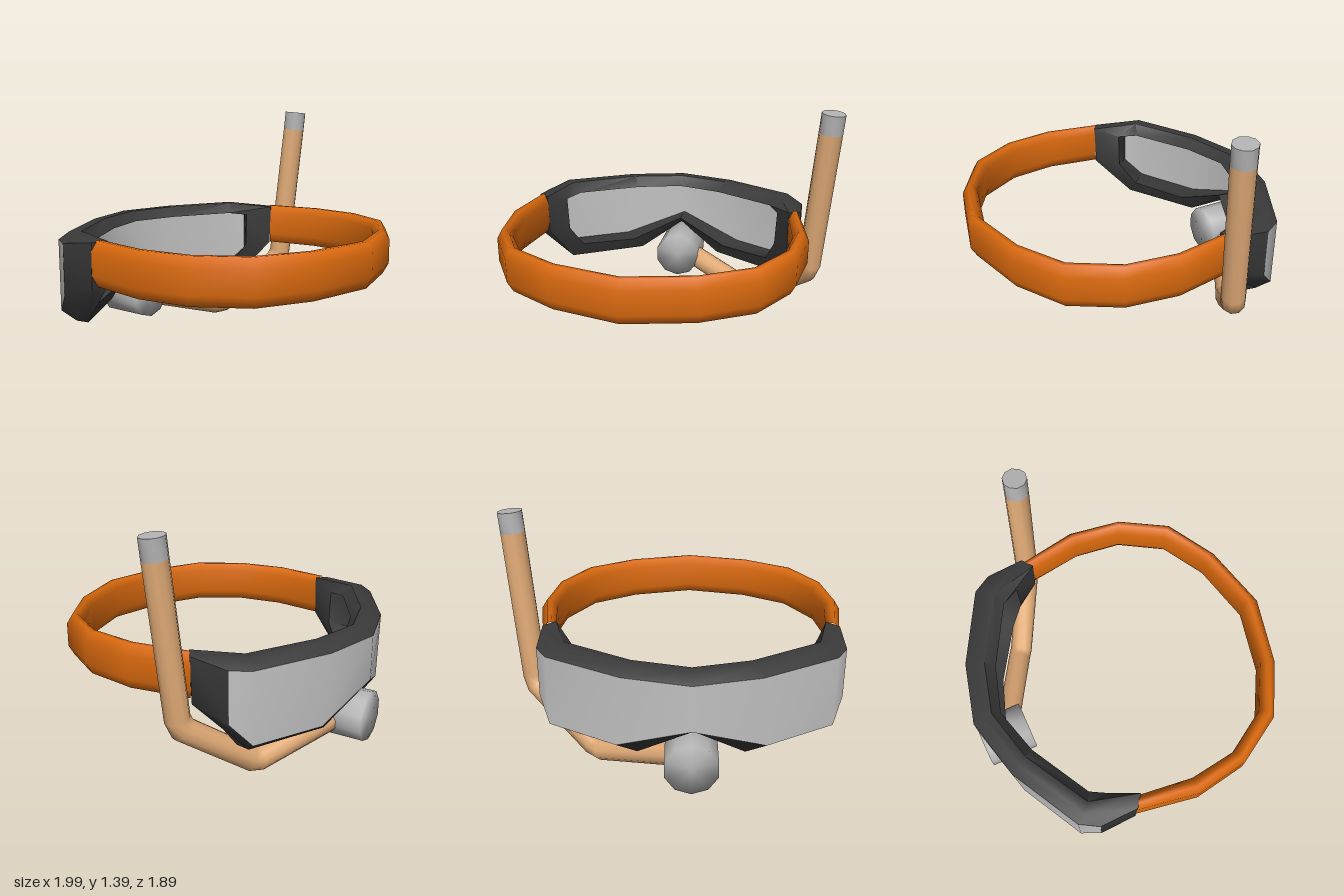
import * as THREE from 'three';
import { mergeVertices, toCreasedNormals } from 'three/addons/utils/BufferGeometryUtils.js';

const CX = -0.08; // the mask's own centre line
const V = (x, y, z) => new THREE.Vector3(x, y, z);
const mirror = (ring) => ring.map((p) => V(-p.x, p.y, p.z));

// Skin a list of rings; closed rings join last point to first, closed loops join last ring to first
function loft(rings, closedRing = true, closedLoop = false) {
  const n = rings[0].length, m = rings.length;
  const pos = rings.flat().flatMap((p) => [p.x, p.y, p.z]);
  const idx = [];
  for (let i = 0; i < (closedLoop ? m : m - 1); i++) {
    for (let j = 0; j < (closedRing ? n : n - 1); j++) {
      const i2 = (i + 1) % m, j2 = (j + 1) % n;
      const a = i * n + j, b = i * n + j2, c = i2 * n + j, d = i2 * n + j2;
      idx.push(a, b, c, c, b, d);
    }
  }
  const g = new THREE.BufferGeometry();
  g.setAttribute('position', new THREE.Float32BufferAttribute(pos, 3));
  g.setIndex(idx);
  g.computeVertexNormals();
  return g;
}

// Rings of a round tube with exact mitres at the bends
function tubeRings(path, radius, sides) {
  const dirs = path.slice(1).map((p, i) => p.clone().sub(path[i]).normalize());
  const u = V(0, 0, 1).cross(dirs[0]).normalize();
  const v = dirs[0].clone().cross(u);
  let ring = [];
  for (let k = 0; k < sides; k++) {
    const a = (k / sides) * Math.PI * 2;
    ring.push(path[0].clone().addScaledVector(u, radius * Math.cos(a)).addScaledVector(v, radius * Math.sin(a)));
  }
  const rings = [ring];
  for (let i = 1; i < path.length; i++) {
    const d = dirs[i - 1];
    const nrm = d.clone().add(dirs[i] || d).normalize();
    ring = ring.map((p) => p.clone().addScaledVector(d, path[i].clone().sub(p).dot(nrm) / d.dot(nrm)));
    rings.push(ring);
  }
  return rings;
}

export function createModel() {
  const model = new THREE.Group();
  model.name = 'snorkelMask';
  const mat = (name, color, side = THREE.FrontSide) => {
    const m = new THREE.MeshStandardMaterial({ color, side });
    m.name = name;
    return m;
  };
  const orange = mat('orangeStrap', 0xdb6a0e);
  const black = mat('blackRubber', 0x3a3a3a, THREE.DoubleSide);
  const glass = mat('paleLens', 0xc2c2c2, THREE.DoubleSide);
  const grey = mat('greyRubber', 0xb4b4b4);
  const tan = mat('tanTube', 0xe0aa76);
  const add = (name, geo, material, x = 0) => {
    const mesh = new THREE.Mesh(geo, material);
    mesh.name = name;
    mesh.position.x = x;
    model.add(mesh);
    return mesh;
  };

  // Head strap: rounded section swept around a faceted half ring, [outer x, z, inner x, z]
  const plan = [
    [0.85, -0.285, 0.78, -0.235], [0.915, 0.08, 0.82, 0.08], [0.865, 0.4, 0.785, 0.36],
    [0.7, 0.68, 0.63, 0.615], [0.4, 0.85, 0.37, 0.765], [0, 0.945, 0, 0.85],
  ];
  // section points: [0 inner .. 1 outer, height]
  const section = [[1, 0.56], [1, 0.7], [0.65, 0.755], [0.35, 0.755], [0, 0.71], [0, 0.56], [0.3, 0.5], [0.65, 0.5]];
  const half = plan.map(([ox, oz, ix, iz]) =>
    section.map(([t, y]) => V(ix + (ox - ix) * t, y, iz + (oz - iz) * t)));
  // mirrored rings keep the section order, so only x changes
  add('strap', loft([...half, ...half.slice(0, -1).reverse().map(mirror)]), orange, CX);

  // Mask frame: each station runs lens edge, outer crest, inner crest, face opening
  const stations = [
    [V(0, 0.715, -0.94), V(0, 0.76, -0.88), V(0, 0.76, -0.82), V(0, 0.7, -0.77)],
    [V(0.365, 0.715, -0.85), V(0.345, 0.76, -0.79), V(0.315, 0.76, -0.74), V(0.28, 0.7, -0.69)],
    [V(0.785, 0.715, -0.62), V(0.75, 0.76, -0.57), V(0.7, 0.76, -0.52), V(0.64, 0.7, -0.49)],
    [V(0.85, 0.715, -0.51), V(0.85, 0.745, -0.28), V(0.78, 0.75, -0.23), V(0.7, 0.69, -0.38)],
    [V(0.85, 0.42, -0.51), V(0.85, 0.48, -0.29), V(0.78, 0.5, -0.24), V(0.69, 0.48, -0.38)],
    [V(0.785, 0.3, -0.62), V(0.725, 0.235, -0.56), V(0.71, 0.235, -0.48), V(0.63, 0.33, -0.48)],
    [V(0.4, 0.3, -0.83), V(0.29, 0.235, -0.79), V(0.27, 0.235, -0.74), V(0.32, 0.31, -0.68)],
    [V(0, 0.45, -0.94), V(0, 0.42, -0.88), V(0, 0.42, -0.82), V(0, 0.46, -0.77)],
  ];
  const loop = [...stations, ...stations.slice(1, -1).reverse().map(mirror)];
  add('maskFrame', toCreasedNormals(loft(loop, true, true), 0.8), black, CX);

  // Wrap-around lens between the upper and lower frame edges
  const cols = [0, 1, 2, 3].map((i) => [stations[7 - i][0], stations[i][0]]);
  add('lens', loft([...cols.slice(1).reverse().map(mirror), ...cols].map((c) => [c[1], c[0]]).reverse(), false), glass, CX);

  // Mouthpiece with softly shaded ends
  let mouth = new THREE.CylinderGeometry(0.15, 0.15, 0.3, 10);
  mouth.deleteAttribute('normal');
  mouth.deleteAttribute('uv');
  mouth = mergeVertices(mouth);
  mouth.computeVertexNormals();
  const mouthpiece = add('mouthpiece', mouth, grey, CX);
  mouthpiece.rotation.x = Math.PI / 2;
  mouthpiece.position.set(CX, 0.225, -0.8);

  // Breathing tube, bent twice, with a capped grey tip
  const top = V(0.925, 1.393, -0.18);
  const path = [V(-0.05, 0.22, -0.785), V(0.43, 0.077, -0.515), V(0.48, 0.085, -0.48),
    V(0.82, 0.355, -0.265), V(0.843, 0.42, -0.247), V(0.915, 1.275, -0.187), top];
  const rings = tubeRings(path, 0.071, 10);
  add('snorkelTube', loft(rings.slice(0, -1)), tan);
  const tip = rings.slice(-2);
  tip.push(tip[1].map(() => top.clone()));
  add('snorkelTip', toCreasedNormals(loft(tip), 0.8), grey);

  return model;
}
